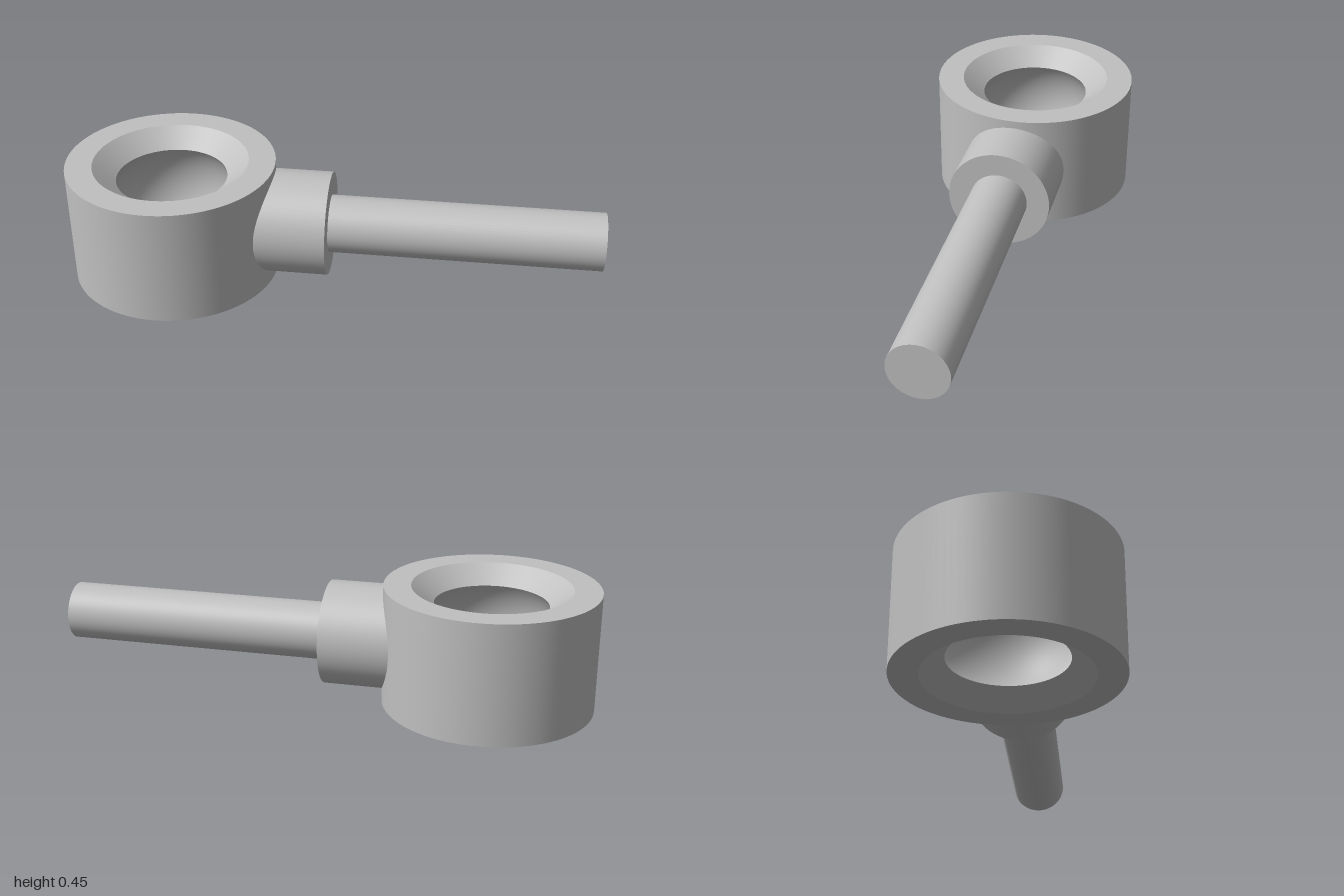
import * as THREE from 'three';

export function createModel() {
  const steel = new THREE.MeshStandardMaterial({ color: 0xc0c0c0 });
  steel.name = 'steel grey';

  const model = new THREE.Group();
  model.name = 'rodEnd';

  const height = 0.447, mid = height / 2;
  const outerR = 0.39, mouthR = 0.29, throatR = 0.207, throatDepth = 0.066;
  const P = (r, y) => new THREE.Vector2(r, y);

  // Spherical socket profile, from the upper throat down to the lower one
  const half = mid - throatDepth;
  const ballR = Math.hypot(throatR, half);
  const limit = Math.atan2(half, throatR);
  const socket = [];
  for (let i = 0; i <= 24; i++) {
    const a = limit * (1 - i / 12);
    socket.push(P(ballR * Math.cos(a), mid + ballR * Math.sin(a)));
  }

  // Ring: each surface is its own lathe so the rims stay sharp
  const ring = new THREE.Group();
  ring.name = 'ring';
  ring.position.x = -1 + outerR;
  const surfaces = {
    ringOuterWall: [P(outerR, 0), P(outerR, height)],
    ringTopFace: [P(outerR, height), P(mouthR, height)],
    upperChamfer: [P(mouthR, height), P(throatR, height - throatDepth)],
    ballSocket: socket,
    lowerChamfer: [P(throatR, throatDepth), P(mouthR, 0)],
    ringBottomFace: [P(mouthR, 0), P(outerR, 0)],
  };
  for (const [name, profile] of Object.entries(surfaces)) {
    const mesh = new THREE.Mesh(new THREE.LatheGeometry(profile, 96), steel);
    mesh.name = name;
    ring.add(mesh);
  }
  model.add(ring);

  // Collar and shank lie along x; the collar root is buried in the ring wall
  const bar = (name, radius, x0, x1) => {
    const geo = new THREE.CylinderGeometry(radius, radius, x1 - x0, 64);
    geo.rotateZ(-Math.PI / 2);
    const mesh = new THREE.Mesh(geo, steel);
    mesh.name = name;
    mesh.position.set((x0 + x1) / 2, mid, 0);
    model.add(mesh);
  };
  bar('collar', 0.194, -0.31, -0.01);
  bar('shank', 0.108, -0.05, 1);

  return model;
}
